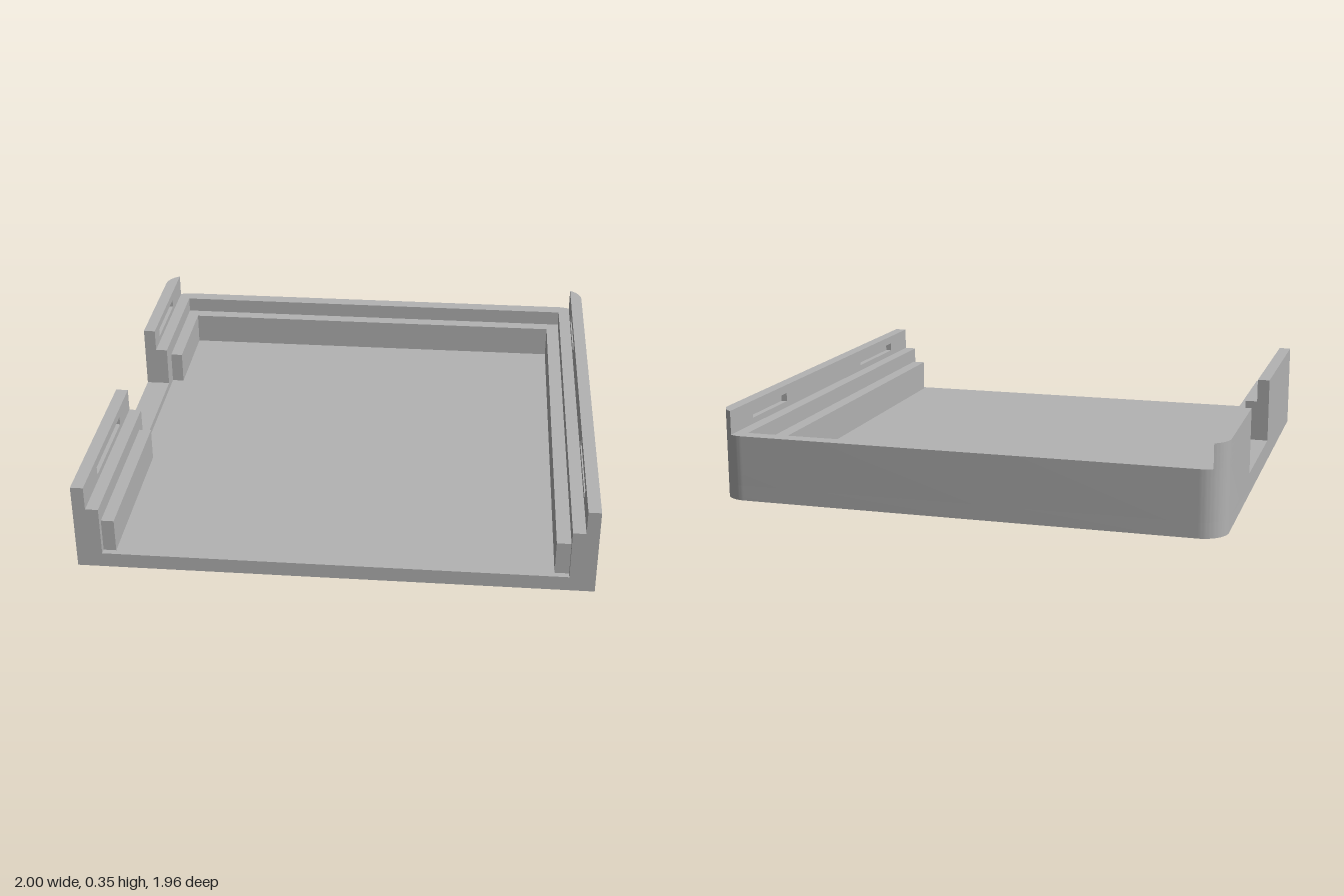
import * as THREE from 'three';
import { toCreasedNormals } from 'three/addons/utils/BufferGeometryUtils.js';

const R = 0.1;            // rear corner radius
const W = 1, D = 0.98;    // half width, half depth
const IN = W - R;         // inner face of the side walls
const FLOOR = 0.06, SILL = 0.09, RAIL = 0.195, RIM = 0.26, TOP = 0.355;
const LIP = 0.95, SLOT = 0.975, SLOT_LOW = 0.285, SLOT_HIGH = 0.32;
const NOTCH_BACK = -0.36, NOTCH_FRONT = 0.2;

export function createModel() {
  const model = new THREE.Group();
  model.name = 'tray';
  const grey = new THREE.MeshStandardMaterial({ color: 0xb3b3b3 });
  grey.name = 'grey plastic';

  // Plan shapes use x and -z, then are raised from y0 to y1
  function raise(name, shape, y0, y1) {
    let geo = new THREE.ExtrudeGeometry(shape, { depth: y1 - y0, bevelEnabled: false, curveSegments: 12 });
    geo.rotateX(-Math.PI / 2).translate(0, y0, 0);
    geo = toCreasedNormals(geo, Math.PI / 6);
    const mesh = new THREE.Mesh(geo, grey);
    mesh.name = name;
    model.add(mesh);
  }

  function block(name, x0, x1, y0, y1, z0, z1) {
    const mesh = new THREE.Mesh(new THREE.BoxGeometry(x1 - x0, y1 - y0, z1 - z0), grey);
    mesh.position.set((x0 + x1) / 2, (y0 + y1) / 2, (z0 + z1) / 2);
    mesh.name = name;
    model.add(mesh);
  }

  // Outer edge from the front of the +x side, around the rear, down the -x side to zEnd
  function outerEdge(zEnd) {
    const s = new THREE.Shape();
    s.moveTo(W, -D);
    s.lineTo(W, D - R);
    s.absarc(IN, D - R, R, 0, Math.PI / 2, false);
    s.lineTo(-IN, D);
    s.absarc(-IN, D - R, R, Math.PI / 2, Math.PI, false);
    s.lineTo(-W, -zEnd);
    return s;
  }

  // Floor plate
  raise('floor', outerEdge(D), 0, FLOOR);

  // Walls, open at the front and notched on the -x side
  const wall = outerEdge(NOTCH_BACK);
  wall.lineTo(-IN, -NOTCH_BACK);
  wall.lineTo(-IN, 0.92);
  wall.lineTo(IN, 0.92);
  wall.lineTo(IN, -D);
  wall.closePath();
  raise('wall', wall, FLOOR, RIM);
  block('frontWall', -W, -IN, FLOOR, RIM, NOTCH_FRONT, D);
  block('notchSill', -W, -IN, FLOOR, SILL, NOTCH_BACK, NOTCH_FRONT);

  // Upper lip: three layers, the middle one recessed on its inner face by slots
  function lip(name, side, zBack, zFront, slots) {
    const layer = (cuts) => {
      const s = new THREE.Shape();
      s.moveTo(side * LIP, -zFront);
      s.lineTo(side * W, -zFront);
      if (zBack === -D) {
        s.lineTo(side * W, D - R);
        const start = side > 0 ? 0 : Math.PI;
        s.absarc(side * IN, D - R, R, start, start + side * Math.PI / 3, side < 0);
      } else {
        s.lineTo(side * W, -zBack);
        s.lineTo(side * LIP, -zBack);
      }
      for (const [z0, z1] of cuts) {
        s.lineTo(side * LIP, -z0);
        s.lineTo(side * SLOT, -z0);
        s.lineTo(side * SLOT, -z1);
        s.lineTo(side * LIP, -z1);
      }
      s.closePath();
      return s;
    };
    raise(name + 'Lower', layer([]), RIM, SLOT_LOW);
    raise(name + 'Slotted', layer(slots), SLOT_LOW, SLOT_HIGH);
    raise(name + 'Upper', layer([]), SLOT_HIGH, TOP);
  }
  const backSlot = [-0.77, -0.45], frontSlot = [0.37, 0.77];
  lip('leftLip', 1, -D, D, [backSlot, frontSlot]);
  lip('rightBackLip', -1, -D, NOTCH_BACK, [backSlot]);
  lip('rightFrontLip', -1, NOTCH_FRONT, D, [frontSlot]);

  // Inner support rail along the walls
  block('backRail', -IN, IN, FLOOR, RAIL, -0.92, -0.865);
  block('leftRail', 0.845, IN, FLOOR, RAIL, -0.865, 0.955);
  block('rightBackRail', -IN, -0.85, FLOOR, RAIL, -0.865, -0.445);
  block('rightFrontRail', -IN, -0.85, FLOOR, RAIL, 0.255, 0.955);

  return model;
}
